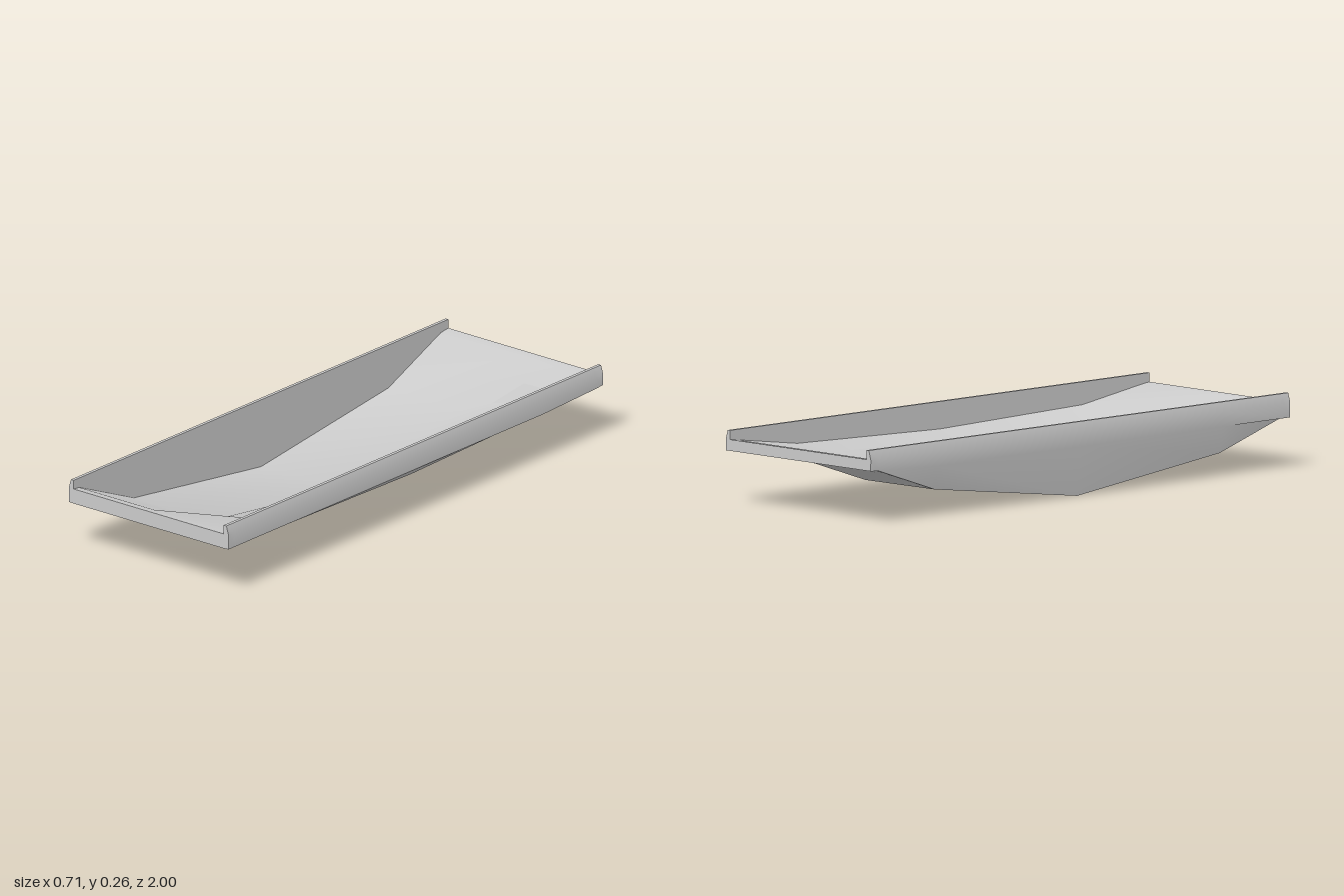
import * as THREE from 'three';
import { toCreasedNormals } from 'three/addons/utils/BufferGeometryUtils.js';

// Stations along the tray: z, underside height at left/centre/right edge, floor height at the same places
const STATIONS = [
  [1, [0.172, 0.172, 0.172], [0.225, 0.225, 0.225]],
  [0.97, [0.172, 0.172, 0.172], [0.222, 0.222, 0.222]],
  [0.68, [0.08, 0.08, 0.163], [0.098, 0.095, 0.178]],
  [0, [0, 0.012, 0.15], [0.012, 0.022, 0.162]],
  [-0.68, [0.09, 0.088, 0.167], [0.1, 0.1, 0.18]],
  [-0.96, [0.182, 0.182, 0.183], [0.22, 0.22, 0.22]],
  [-1, [0.186, 0.186, 0.186], [0.225, 0.225, 0.225]],
];

// Closed cross-section, counter-clockwise seen from the front
function section(under, floor) {
  const skirt = Math.max(0.173, under[2]);
  return [
    [-0.334, 0.257], [-0.346, 0.257], [-0.356, 0.225], [-0.355, skirt], // rail on the deep side
    [-0.339, under[0]], [0, under[1]], [0.335, under[2]],               // underside
    [0.355, skirt], [0.356, 0.225], [0.346, 0.257], [0.334, 0.257],     // rail on the shallow side
    [0.334, floor[2]], [0, floor[1]], [-0.334, floor[0]],               // inner floor
  ].map(([x, y]) => new THREE.Vector2(x, y));
}

// Joins the sections into one closed shell with flat end caps
function loft(stations) {
  const rings = stations.map(([, under, floor]) => section(under, floor));
  const n = rings[0].length;
  const positions = [];
  const index = [];
  rings.forEach((ring, k) => ring.forEach((p) => positions.push(p.x, p.y, stations[k][0])));
  for (let k = 0; k < rings.length - 1; k++) {
    for (let i = 0; i < n; i++) {
      const j = (i + 1) % n;
      const a = k * n + i, b = k * n + j, c = a + n, d = b + n;
      index.push(a, c, b, b, c, d);
    }
  }
  const last = (rings.length - 1) * n;
  for (const [a, b, c] of THREE.ShapeUtils.triangulateShape(rings[0], [])) index.push(a, b, c);
  for (const [a, b, c] of THREE.ShapeUtils.triangulateShape(rings[rings.length - 1], [])) {
    index.push(last + a, last + c, last + b);
  }
  const geometry = new THREE.BufferGeometry();
  geometry.setAttribute('position', new THREE.Float32BufferAttribute(positions, 3));
  geometry.setIndex(index);
  return toCreasedNormals(geometry, 0.5);
}

export function createModel() {
  const group = new THREE.Group();
  group.name = 'slopedTray';
  const material = new THREE.MeshStandardMaterial({ color: 0xcccccc, side: THREE.DoubleSide });
  const tray = new THREE.Mesh(loft(STATIONS), material);
  tray.name = 'trayShell';
  group.add(tray);
  return group;
}
